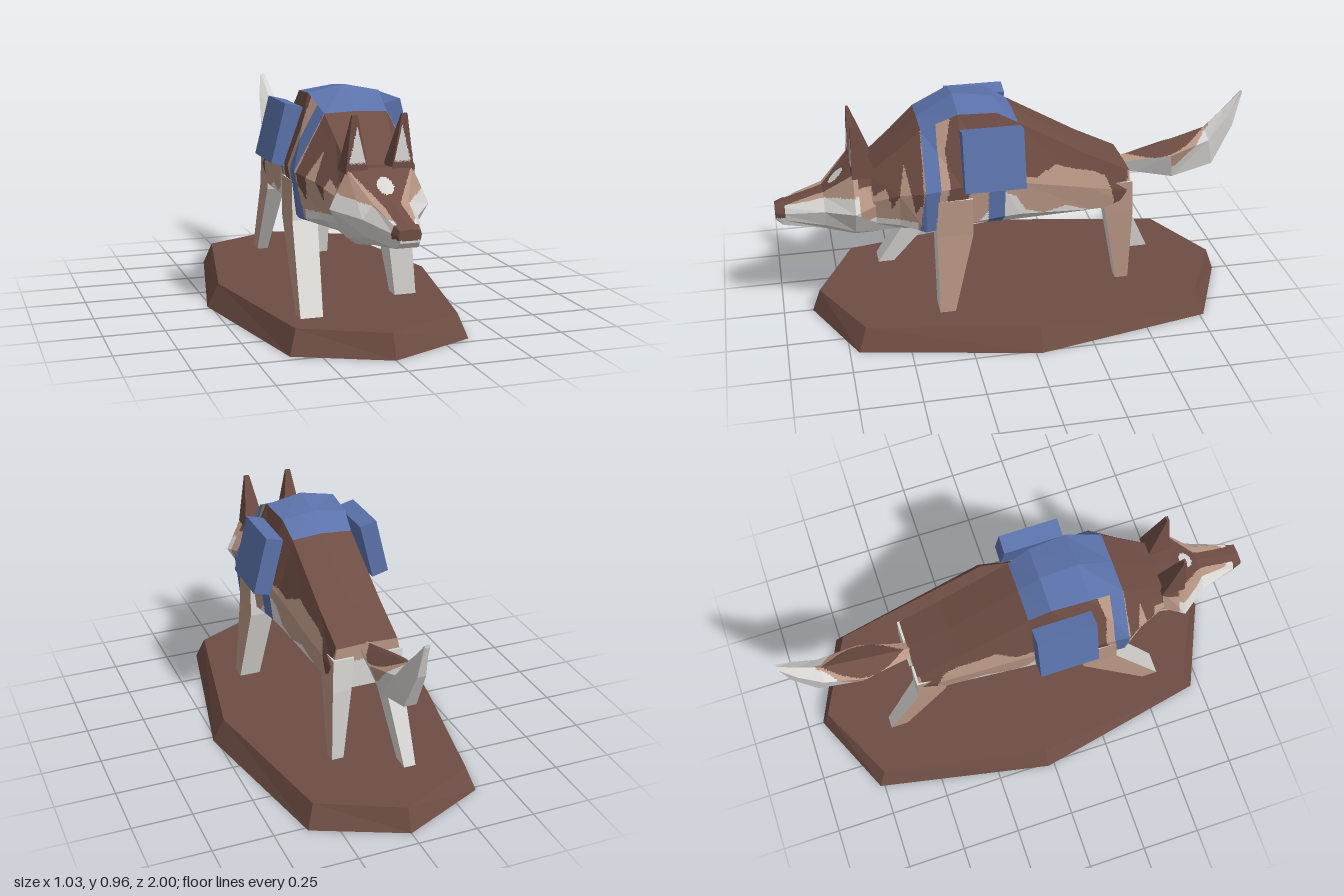
import * as THREE from 'three';

const BROWN = 0, TAN = 1, WHITE = 2, BLUE = 3;

function makeMaterials() {
  const list = [['brown', 0x6e4d44], ['tan', 0xb89684], ['offWhite', 0xd9d7d4], ['packBlue', 0x5b72aa]];
  return list.map(([name, color]) => {
    const m = new THREE.MeshStandardMaterial({ color });
    m.name = name;
    return m;
  });
}

// Skins a row of equal-length point loops and caps both ends; returns triangles facing outward
function loft(rings) {
  const tris = [], n = rings[0].length;
  for (let i = 0; i < rings.length - 1; i++) {
    for (let j = 0; j < n; j++) {
      const k = (j + 1) % n;
      const a = rings[i][j], b = rings[i][k], c = rings[i + 1][k], d = rings[i + 1][j];
      tris.push([a, d, b], [b, d, c]);
    }
  }
  const first = rings[0], last = rings[rings.length - 1];
  for (let j = 1; j < n - 1; j++) {
    tris.push([first[0], first[j], first[j + 1]], [last[0], last[j + 1], last[j]]);
  }
  let volume = 0;
  const v = new THREE.Vector3();
  for (const [a, b, c] of tris) volume += a.dot(v.crossVectors(b, c));
  return volume < 0 ? tris.map(([a, b, c]) => [a, c, b]) : tris;
}

// Cuts the flat faces into small cells and sorts them into one material group per colour
function paintedMesh(name, tris, rule, mats) {
  const buckets = [[], [], [], []];
  for (const [a, b, c] of tris) {
    const ab = b.clone().sub(a), ac = c.clone().sub(a);
    const normal = ab.clone().cross(ac);
    if (normal.length() < 1e-8) continue;
    normal.normalize();
    const longest = Math.max(ab.length(), ac.length(), b.distanceTo(c));
    const n = typeof rule === 'function' ? Math.ceil(longest / 0.012) : 1;
    const at = (i, j) => a.clone().addScaledVector(ab, i / n).addScaledVector(ac, j / n);
    const put = (p, q, r) => {
      const mid = p.clone().add(q).add(r).divideScalar(3);
      const colour = typeof rule === 'function' ? rule(mid, normal) : rule;
      for (const s of [p, q, r]) buckets[colour].push(s.x, s.y, s.z);
    };
    for (let i = 0; i < n; i++) {
      for (let j = 0; j < n - i; j++) {
        put(at(i, j), at(i + 1, j), at(i, j + 1));
        if (i + j < n - 1) put(at(i + 1, j), at(i + 1, j + 1), at(i, j + 1));
      }
    }
  }
  const geo = new THREE.BufferGeometry();
  geo.setAttribute('position', new THREE.Float32BufferAttribute(buckets.flat(), 3));
  let start = 0;
  buckets.forEach((bucket, m) => {
    if (bucket.length) geo.addGroup(start, bucket.length / 3, m);
    start += bucket.length / 3;
  });
  geo.computeVertexNormals();
  const mesh = new THREE.Mesh(geo, mats);
  mesh.name = name;
  return mesh;
}

// Mirrored cross-section: top centre height, then [half width, height] pairs down one side
function section(z, top, pairs) {
  const right = pairs.map(([x, y]) => new THREE.Vector3(x, y, z));
  const left = pairs.map(([x, y]) => new THREE.Vector3(-x, y, z)).reverse();
  return [new THREE.Vector3(0, top, z), ...right, ...left];
}

// Rectangle at a given height
const slab = (y, x0, x1, z0, z1) =>
  [[x0, z0], [x1, z0], [x1, z1], [x0, z1]].map(([x, z]) => new THREE.Vector3(x, y, z));

function inside(u, v, poly) {
  let hit = false;
  for (let i = 0, j = poly.length - 1; i < poly.length; j = i++) {
    const [ui, vi] = poly[i], [uj, vj] = poly[j];
    if ((vi > v) !== (vj > v) && u < ((uj - ui) * (v - vi)) / (vj - vi) + ui) hit = !hit;
  }
  return hit;
}

// Coat patches as [z, y] outlines on the flank
const rumpPatch = [[0.02, 1], [0.02, 0.66], [-0.07, 0.64], [-0.15, 0.68], [-0.23, 0.65], [-0.31, 0.63],
  [-0.37, 0.6], [-0.4, 0.53], [-0.43, 0.37], [-0.46, 0.42], [-0.47, 0.6], [-0.5, 0.7]];
const shoulderPatch = [[0.27, 0.97], [0, 0.97], [0, 0.66], [0.2, 0.66], [0.24, 0.58], [0.3, 0.46],
  [0.36, 0.42], [0.33, 0.55], [0.3, 0.66], [0.31, 0.8]];
const neckPatch = [[0.4, 0.92], [0.41, 0.6], [0.44, 0.54], [0.46, 0.66], [0.475, 0.74], [0.5, 0.62],
  [0.53, 0.55], [0.55, 0.64], [0.6, 0.6], [0.66, 0.75]];
const bellyPatch = [[0.07, 0.6], [0.02, 0.57], [-0.02, 0.5], [-0.1, 0.47], [-0.2, 0.49], [-0.3, 0.45],
  [-0.38, 0.4], [0.3, 0.4], [0.2, 0.46]];

function bodyColour({ y, z }, n) {
  if (n.y > 0.5 && z > 0 && z < 0.4) return BLUE; // saddle cloth
  if (Math.abs(z - 0.37 - Math.max(0, 0.66 - y) * 0.12) < 0.031) return BLUE; // chest strap
  if (Math.abs(z - 0.105) < 0.035 && y < 0.68) return BLUE; // girth strap
  if (n.z < -0.8) return y < 0.54 ? WHITE : TAN;
  if (n.y > 0.5) return BROWN;
  if (n.y < -0.6 || (z > 0.43 && y < 0.5)) return WHITE;
  if ([rumpPatch, shoulderPatch, neckPatch].some((p) => inside(z, y, p))) return BROWN;
  return inside(z, y, bellyPatch) ? WHITE : TAN;
}

function headColour({ x, y, z }, n) {
  const a = Math.abs(x);
  if (z > 0.66 && (x / 0.032) ** 2 + ((y - 0.64) / 0.028) ** 2 < 1) return WHITE; // forehead spot
  if (z > 0.96 && y > 0.49) return BROWN; // nose
  if (n.y < -0.3) return WHITE;
  if (z < 0.68 && n.y > 0.5) return BROWN;
  if (n.y > 0.6 && a < Math.max(0.035, 0.13 - (0.7 - y) * 0.8)) return BROWN;
  if (z < 0.66) return y > 0.64 ? BROWN : y > 0.5 ? TAN : WHITE;
  return y > 0.61 - (z - 0.68) * 0.25 ? TAN : WHITE;
}

function tailColour({ x, y, z }, n) {
  if (n.y < -0.3) return WHITE;
  const t = (-z - 0.5) / 0.34;
  if (n.y > 0.2 && t > 0 && t < 1 && Math.abs(x) < 0.07 * Math.sin(Math.PI * t)) return BROWN;
  const line = z > -0.7 ? 0.565 : 0.565 + (-0.7 - z) * 1;
  return z > -0.86 && y > line ? TAN : WHITE;
}

export function createModel() {
  const group = new THREE.Group();
  const mats = makeMaterials();
  const add = (name, rings, rule) => group.add(paintedMesh(name, loft(rings), rule, mats));

  // Bevelled eight-sided plinth
  const outline = (y, w, x, z, l) => [[0, l], [x, z], [w, 0], [x, -z], [0, -l], [-x, -z], [-w, 0], [-x, z]]
    .map(([px, pz]) => new THREE.Vector3(px, y, pz - 0.028));
  add('base', [outline(0, 0.515, 0.365, 0.74, 0.905), outline(0.097, 0.465, 0.332, 0.705, 0.87)], BROWN);

  // Body from rump to neck
  add('body', [
    section(-0.48, 0.61, [[0.13, 0.605], [0.148, 0.52], [0.145, 0.45], [0.08, 0.42]]),
    section(-0.3, 0.7, [[0.13, 0.695], [0.168, 0.56], [0.155, 0.45], [0.09, 0.412]]),
    section(0, 0.88, [[0.13, 0.87], [0.2, 0.63], [0.19, 0.48], [0.12, 0.42]]),
    section(0.09, 0.945, [[0.14, 0.925], [0.22, 0.65], [0.2, 0.48], [0.13, 0.425]]),
    section(0.25, 0.965, [[0.15, 0.935], [0.25, 0.66], [0.23, 0.48], [0.14, 0.44]]),
    section(0.4, 0.875, [[0.13, 0.87], [0.255, 0.645], [0.235, 0.46], [0.14, 0.43]]),
    section(0.5, 0.785, [[0.115, 0.78], [0.2, 0.62], [0.17, 0.47], [0.1, 0.42]]),
    section(0.62, 0.68, [[0.1, 0.68], [0.14, 0.57], [0.12, 0.47], [0.09, 0.41]]),
  ], bodyColour);

  // Head tapering into the muzzle
  add('head', [
    section(0.58, 0.695, [[0.1, 0.69], [0.14, 0.56], [0.12, 0.46], [0.09, 0.41]]),
    section(0.68, 0.698, [[0.13, 0.695], [0.2, 0.55], [0.135, 0.44], [0.09, 0.408]]),
    section(0.8, 0.59, [[0.07, 0.585], [0.11, 0.53], [0.09, 0.46], [0.06, 0.43]]),
    section(0.97, 0.54, [[0.045, 0.535], [0.055, 0.51], [0.05, 0.48], [0.045, 0.455]]),
    section(1, 0.53, [[0.04, 0.525], [0.045, 0.51], [0.042, 0.495], [0.036, 0.48]]),
  ], headColour);

  // Upswept tail: top z, top y, bottom z, bottom y, half width
  const tail = [[-0.46, 0.61, -0.46, 0.55, 0.03], [-0.54, 0.63, -0.54, 0.54, 0.045],
    [-0.67, 0.665, -0.7, 0.51, 0.077], [-0.84, 0.715, -0.88, 0.55, 0.052],
    [-0.93, 0.8, -0.965, 0.72, 0.035], [-1, 0.872, -1, 0.855, 0.012]];
  add('tail', tail.map(([zt, yt, zb, yb, w]) => [[0, 0], [w, 0.25], [w * 0.5, 1], [-w * 0.5, 1], [-w, 0.25]]
    .map(([x, t]) => new THREE.Vector3(x, yt + (yb - yt) * t, zt + (zb - zt) * t))), tailColour);

  for (const s of [1, -1]) {
    const side = s > 0 ? 'left' : 'right';
    const legColour = (p, n) => (n.x * s > 0.5 ? TAN : WHITE);

    // Legs: the right pair is spread further fore and aft
    const front = s > 0 ? [0.295, 0.36] : [0.5, 0.568];
    const hind = s > 0 ? [-0.485, -0.43] : [-0.645, -0.57];
    add(side + 'FrontLeg', [
      slab(0.6, s * 0.15, s * 0.248, 0.21, 0.35),
      slab(0.44, s * 0.145, s * 0.25, 0.21, 0.36),
      slab(0.095, s * 0.188, s * 0.28, ...front),
    ], legColour);
    add(side + 'HindLeg', [
      slab(0.56, s * 0.06, s * 0.148, -0.49, -0.35),
      slab(0.42, s * 0.072, s * 0.152, -0.495, -0.375),
      slab(0.095, s * 0.1, s * 0.15, ...hind),
    ], legColour);

    // Ear with a pale inner face
    const earColour = ({ x, y }, n) =>
      n.z > 0.7 && y > 0.72 && Math.abs(Math.abs(x) - 0.09) < 0.03 * (0.86 - y) / 0.13 ? WHITE : BROWN;
    add(side + 'Ear', [
      slab(0.68, s * 0.045, s * 0.137, 0.585, 0.685),
      slab(0.9, s * 0.088, s * 0.11, 0.667, 0.678),
    ], earColour);

    // Saddlebag
    const bag = new THREE.Mesh(new THREE.BoxGeometry(0.075, 0.247, 0.25), mats[BLUE]);
    bag.name = side + 'Saddlebag';
    bag.position.set(s * 0.238, 0.767, 0.124);
    bag.rotation.z = s * 0.245;
    group.add(bag);
  }
  return group;
}
